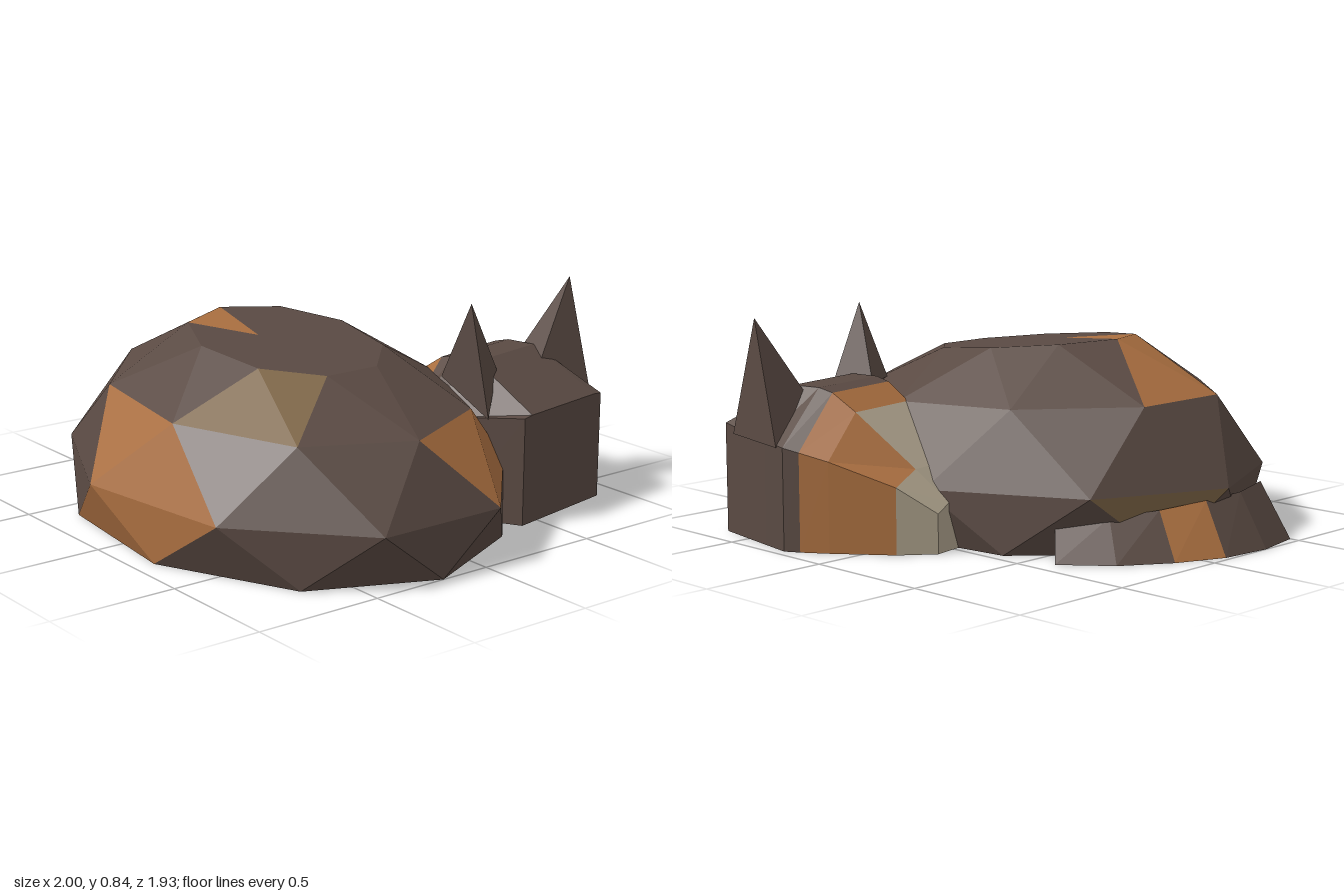
import * as THREE from 'three';

const flat = (name, color) => {
  const m = new THREE.MeshStandardMaterial({ color, flatShading: true, side: THREE.DoubleSide });
  m.name = name;
  return m;
};

// Collects triangles per colour and turns them into one faceted mesh
class Facets {
  constructor() { this.byMaterial = new Map(); }
  tri(material, a, b, c) {
    if (!this.byMaterial.has(material)) this.byMaterial.set(material, []);
    this.byMaterial.get(material).push(...a, ...b, ...c);
  }
  mesh(name) {
    const geometry = new THREE.BufferGeometry(), all = [], materials = [];
    for (const [material, coords] of this.byMaterial) {
      geometry.addGroup(all.length / 3, coords.length / 3, materials.length);
      materials.push(material);
      for (const v of coords) all.push(v);
    }
    geometry.setAttribute('position', new THREE.Float32BufferAttribute(all, 3));
    geometry.computeVertexNormals();
    const mesh = new THREE.Mesh(geometry, materials);
    mesh.name = name;
    return mesh;
  }
}

// Skins a row of cross-sections; paint(segment, side) picks the colour
function loft(name, sections, closed, paint, startMat, endMat) {
  const f = new Facets(), n = sections[0].length;
  for (let i = 0; i < sections.length - 1; i++) {
    for (let j = 0; j < (closed ? n : n - 1); j++) {
      const k = (j + 1) % n, A = sections[i], B = sections[i + 1], m = paint(i, j);
      f.tri(m, A[j], B[j], B[k]);
      f.tri(m, A[j], B[k], A[k]);
    }
  }
  const S = sections[0], E = sections[sections.length - 1];
  for (let j = 1; j < n - 1; j++) {
    f.tri(startMat, S[0], S[j], S[j + 1]);
    f.tri(endMat, E[0], E[j + 1], E[j]);
  }
  return f.mesh(name);
}

export function createModel() {
  const brown = flat('dark brown fur', 0x5a4a43);
  const orange = flat('orange fur', 0xaa6f40);
  const tan = flat('tan fur', 0x7d6546);
  const cream = flat('cream fur', 0xb0a48e);
  const group = new THREE.Group();
  group.name = 'sleepingCat';

  // Curled body: four nine-sided rings, mirrored about z = 0.2, open below
  const ring = (half, y) => {
    const mirrored = half.filter(p => p[1] > 0).reverse().map(([x, w]) => [x, -w]);
    return [...half, ...mirrored].map(([x, w]) => [x, y(x), w + 0.2]);
  };
  const B = ring([[-0.78, 0.23], [-0.38, 0.65], [0.25, 0.72], [0.79, 0.47], [1, 0]], () => 0);
  const E = ring([[-0.9, 0], [-0.67, 0.5], [-0.09, 0.77], [0.57, 0.67], [1, 0.265]], x => 0.22 - 0.01 * x);
  const R = ring([[-0.67, 0.21], [-0.31, 0.54], [0.22, 0.61], [0.68, 0.4], [0.86, 0]], x => 0.505 - 0.035 * x);
  const T = ring([[-0.35, 0], [-0.25, 0.22], [0, 0.33], [0.3, 0.29], [0.48, 0.115]], x => 0.695 - 0.1 * x);
  const top = [0, 0.697, 0.27];
  const patches = {
    low2a: orange, low1b: orange, low8a: tan,
    mid2a: orange, mid1b: orange, mid4b: orange, mid5a: orange,
    high8a: orange, high0b: orange, high2a: tan, high3b: tan, cap0: orange,
  };
  const body = new Facets();
  const add = (key, ...p) => body.tri(patches[key] || brown, ...p);
  for (let i = 0; i < 9; i++) {
    const k = (i + 1) % 9;
    add(`low${i}a`, B[i], E[k], E[i]);
    add(`low${i}b`, B[i], B[k], E[k]);
    add(`mid${i}a`, E[i], E[k], R[i]);
    add(`mid${i}b`, R[i], E[k], R[k]);
    add(`high${i}a`, R[i], R[k], T[k]);
    add(`high${i}b`, T[i], R[i], T[k]);
    add(`cap${i}`, T[i], T[k], top);
  }
  group.add(body.mesh('body'));

  // Head: sections from the nape to the nose along a slightly turned axis
  // [distance, half width, side height, top half width, top height]
  const profile = [
    [0, 0.245, 0.42, 0.2, 0.425],
    [0.28, 0.347, 0.395, 0.18, 0.58],
    [0.4, 0.39, 0.385, 0.175, 0.58],
    [0.46, 0.37, 0.37, 0.17, 0.565],
    [0.56, 0.325, 0.34, 0.16, 0.5],
    [0.78, 0.21, 0.25, 0.09, 0.3],
    [0.895, 0.11, 0.15, 0.04, 0.18],
  ];
  const headSections = profile.map(([d, w, h, tw, ty]) => {
    const at = (s, y) => [0.705 - 0.983 * d + 0.18 * s, y, -0.65 + 0.18 * d + 0.983 * s];
    return [at(-w, 0), at(-w, h), at(-tw, ty), at(tw, ty), at(w, h), at(w, 0)];
  });
  const headPaint = (i, j) => {
    if (j === 5) return i >= 4 ? orange : brown;
    if (i === 5 || (i === 4 && j === 2)) return cream;
    return i >= 3 ? orange : brown;
  };
  group.add(loft('head', headSections, true, headPaint, brown, cream));

  // Ears: four-sided spikes sunk into the corners of the head
  const ear = (name, tip, base) => {
    const f = new Facets();
    base.forEach((p, i) => f.tri(brown, p, base[(i + 1) % 4], tip));
    group.add(f.mesh(name));
  };
  ear('leftEar', [0.56, 0.84, -0.3],
    [[0.46, 0.55, -0.245], [0.65, 0.41, -0.315], [0.51, 0.55, -0.48], [0.39, 0.54, -0.385]]);
  ear('rightEar', [0.44, 0.84, -0.92],
    [[0.33, 0.54, -0.76], [0.47, 0.54, -0.75], [0.54, 0.4, -0.95], [0.28, 0.38, -0.96]]);

  // Tail: a wedge wrapped round the body with one orange band
  // [outer x, outer z, inner x, inner z, ridge height]
  const tailSections = [
    [-0.61, -0.42, -0.5, -0.3, 0.13],
    [-0.78, -0.28, -0.64, -0.18, 0.15],
    [-0.9, -0.1, -0.74, -0.04, 0.17],
    [-0.98, 0.09, -0.81, 0.13, 0.19],
    [-1, 0.3, -0.83, 0.29, 0.2],
    [-0.96, 0.5, -0.79, 0.45, 0.21],
  ].map(([ox, oz, ix, iz, h]) => [
    [ox, 0, oz],
    [ox + 0.7 * (ix - ox), h, oz + 0.7 * (iz - oz)],
    [ix, 0.6 * h, iz],
    [ix, 0, iz],
  ]);
  group.add(loft('tail', tailSections, false, i => (i === 2 ? orange : brown), brown, brown));

  return group;
}
